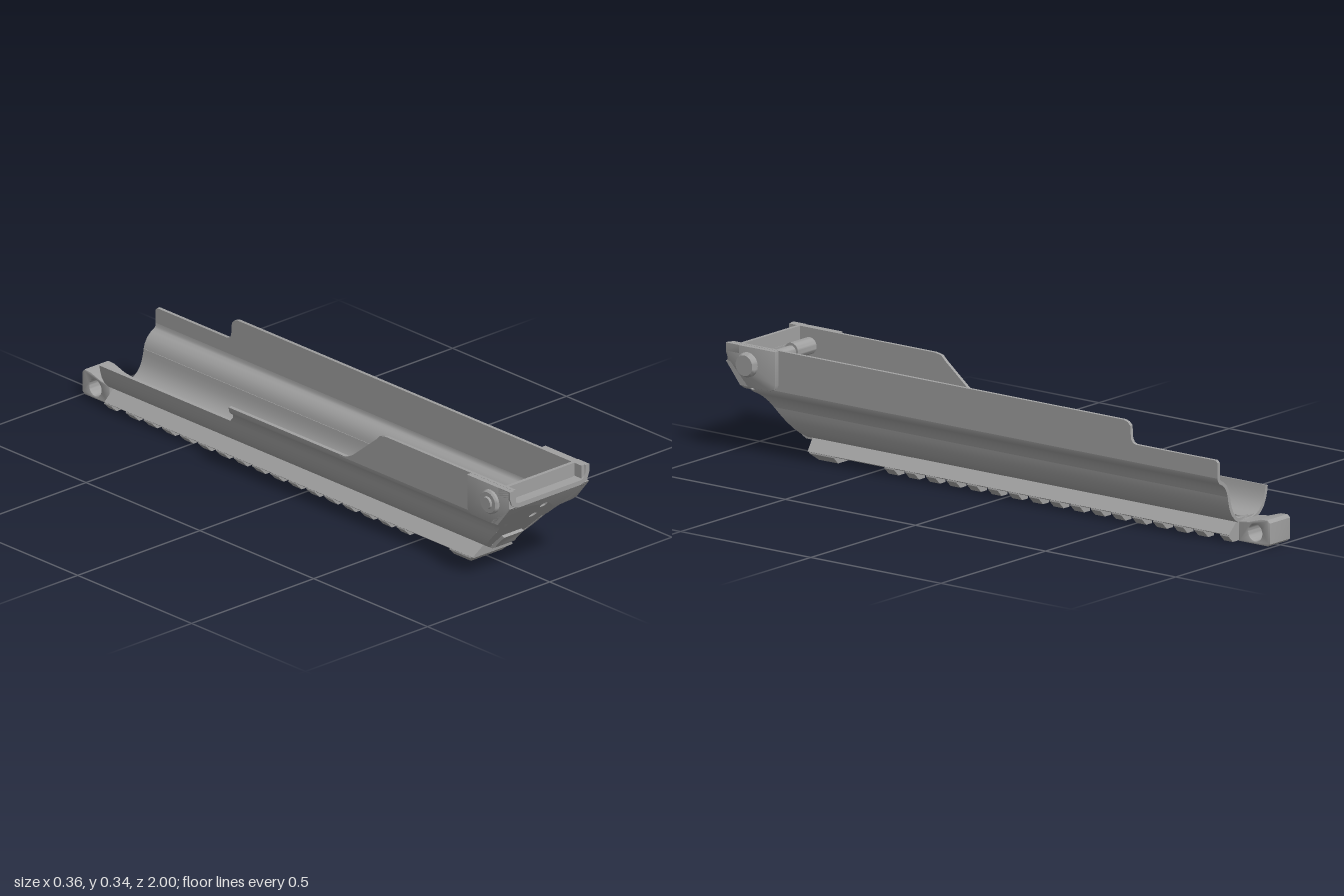
import * as THREE from 'three';
import { toCreasedNormals } from 'three/addons/utils/BufferGeometryUtils.js';

const metal = new THREE.MeshStandardMaterial({ color: 0xa0a0a0 });
metal.name = 'grey metal';

const toShape = (pts) => new THREE.Shape(pts.map(([x, y]) => new THREE.Vector2(x, y)));
const mirror = (pts, s) => pts.map(([x, y]) => [x * s, y]);

// Sloping nose plane: z of the front end at a given height
const noseZ = (y) => (y >= 0.28 ? 1 : 0.775 + (y - 0.055));

// Closed strip of even thickness that follows an open line
function band(pts, t) {
  const inner = pts.map((p, i) => {
    const a = pts[Math.max(i - 1, 0)], b = pts[Math.min(i + 1, pts.length - 1)];
    const dx = b[0] - a[0], dy = b[1] - a[1], l = Math.hypot(dx, dy);
    return [p[0] - (dy / l) * t, p[1] + (dx / l) * t];
  });
  return [...pts, ...inner.reverse()];
}

export function createModel() {
  const model = new THREE.Group();
  model.name = 'handguard';

  function add(name, geo, x = 0, y = 0, z = 0, crease = 0.6) {
    const mesh = new THREE.Mesh(toCreasedNormals(geo, crease), metal);
    mesh.name = name;
    mesh.position.set(x, y, z);
    model.add(mesh);
    return mesh;
  }

  // Cross-section swept along z, with ends that may depend on height
  function sweep(name, shape, back, front) {
    const geo = new THREE.ExtrudeGeometry(shape, { depth: 1, bevelEnabled: false, curveSegments: 20 });
    const p = geo.attributes.position;
    for (let i = 0; i < p.count; i++) p.setZ(i, (p.getZ(i) > 0.5 ? front : back)(p.getY(i)));
    return add(name, geo);
  }

  // Side outline in (z, y), given thickness in x
  function sidePlate(name, shape, x, t, bevel = 0) {
    const geo = new THREE.ExtrudeGeometry(shape, {
      depth: t - 2 * bevel, bevelEnabled: bevel > 0, bevelSize: bevel, bevelThickness: bevel,
      bevelOffset: -bevel, bevelSegments: 2, curveSegments: 20,
    });
    geo.translate(0, 0, -(t - 2 * bevel) / 2);
    geo.rotateY(-Math.PI / 2);
    return add(name, geo, x);
  }

  const rod = (name, r, x0, x1, y, z, r2 = r) => {
    const geo = new THREE.CylinderGeometry(r2, r, Math.abs(x1 - x0), 28);
    geo.rotateZ(x1 > x0 ? -Math.PI / 2 : Math.PI / 2);
    return add(name, geo, (x0 + x1) / 2, y, z);
  };

  const T = 0.011, BACK = -0.875;

  // Rounded trough along the whole length
  const halfTrough = [[0.025, 0.054], [0.045, 0.06], [0.062, 0.071], [0.077, 0.088], [0.087, 0.108], [0.093, 0.13], [0.096, 0.148]];
  const trough = [...mirror(halfTrough, -1).reverse(), [0, 0.053], ...halfTrough];
  sweep('trough', toShape(band(trough, T)), () => BACK, noseZ);

  // Flared shoulders, the right one cut short at the back
  const shoulder = [[0.096, 0.148], [0.1, 0.163], [0.109, 0.178], [0.122, 0.189], [0.135, 0.196], [0.143, 0.206], [0.145, 0.22]];
  for (const s of [1, -1]) {
    const line = mirror(shoulder, s);
    const strip = band(s > 0 ? line : line.reverse(), T);
    const back = s > 0 ? () => BACK : (y) => -0.3 + Math.min(1, Math.max(0, (y - 0.15) / 0.04)) * 0.045;
    sweep('shoulder', toShape(strip), back, noseZ);
  }

  // Upright side walls
  sidePlate('leftWall', toShape([[noseZ(0.215), 0.215], [0.995, 0.28], [0.995, 0.34], [-0.515, 0.34], [-0.53, 0.335],
    [-0.54, 0.325], [-0.543, 0.285], [-0.55, 0.274], [-0.56, 0.27], [-0.868, 0.27], [BACK, 0.263], [BACK, 0.215]]), 0.1395, T);
  sidePlate('rightWall', toShape([[noseZ(0.215), 0.215], [0.995, 0.28], [0.995, 0.34], [0.435, 0.34], [0.41, 0.335],
    [0.395, 0.32], [0.29, 0.235], [0.265, 0.222], [0.23, 0.215]]), -0.1395, T);

  // Sloping nose closing the front of the trough
  const noseHalf = [...halfTrough, ...shoulder.slice(1), [0.15, 0.28]];
  const nose = [...mirror(noseHalf, -1).reverse(), ...noseHalf];
  sweep('nosePlate', toShape(nose), (y) => noseZ(y) - 0.02, (y) => noseZ(y) - 0.002);

  // Collar plate on the nose with two screw holes
  const plateHalf = [[0.08, 0.168], [0.088, 0.173], [0.098, 0.192], [0.106, 0.2], [0.12, 0.204], [0.152, 0.207], [0.162, 0.217], [0.162, 0.285]];
  const plate = toShape([...mirror(plateHalf, -1).reverse(), ...plateHalf]);
  for (const y of [0.2, 0.247]) {
    const hole = new THREE.Path();
    hole.absellipse(0, y, 0.014, 0.011, 0, Math.PI * 2);
    plate.holes.push(hole);
  }
  const slope = (y) => 0.775 + y - 0.055;
  sweep('nosePlateCover', plate, (y) => slope(y) - 0.022, (y) => Math.min(1, slope(y) + 0.008));

  // Rounded rim and the bulkhead behind it
  const rimHalf = [[0.125, 0.281], [0.142, 0.285], [0.155, 0.296], [0.162, 0.315], [0.162, 0.34]];
  const rim = [...mirror(rimHalf, -1).reverse(), ...rimHalf];
  sweep('frontRim', toShape(band(rim, 0.015)), () => 0.95, () => 1);
  sweep('bulkhead', toShape([[-0.14, 0.34], [-0.14, 0.28], [0.14, 0.28], [0.14, 0.34]]), () => 0.952, () => 0.964);

  // Collar cheeks, pivot pin and its heads
  const cheek = toShape([[0.81, 0.34], [0.995, 0.34], [0.995, 0.28], [0.93, 0.213], [0.83, 0.215], [0.815, 0.222], [0.81, 0.235]]);
  for (const s of [1, -1]) {
    sidePlate('collarCheek', cheek, s * 0.1525, 0.019, 0.003);
    rod('pinHead', 0.038, s * 0.155, s * 0.17, 0.285, 0.915);
    rod('pinSleeve', 0.026, s * 0.135, s * 0.045, 0.285, 0.915);
  }
  rod('pinHeadRim', 0.038, 0.17, 0.181, 0.285, 0.915, 0.032);
  rod('pinHeadRim', 0.038, -0.17, -0.175, 0.285, 0.915, 0.033);
  rod('pinTip', 0.021, -0.17, -0.182, 0.285, 0.915, 0.018);
  rod('pivotPin', 0.018, -0.15, 0.15, 0.285, 0.915);

  // Inner tongue following the nose
  sidePlate('innerTongue', toShape([[0.79, 0.1], [0.81, 0.1], [0.945, 0.235], [0.945, 0.27], [0.925, 0.27]]), 0, 0.08);

  // Latch at the foot of the nose
  sidePlate('latch', toShape([[0.74, 0.06], [0.755, 0.054], [0.785, 0.054], [0.8, 0.062], [0.806, 0.073], [0.838, 0.105], [0.82, 0.112]]), 0.005, 0.08);

  // Dovetail rail with cross slots and a centre channel
  const railTop = [[-0.045, 0.07], [-0.045, 0.062], [-0.082, 0.027], [-0.079, 0.024], [0.079, 0.024], [0.082, 0.027], [0.045, 0.062], [0.045, 0.07]];
  sweep('rail', toShape(railTop), () => -0.868, (y) => 0.75 + (y > 0.03 ? 0.01 : 0));
  const endBlock = toShape([[-0.082, 0.026], [-0.083, 0.022], [-0.063, 0.002], [0.063, 0.002], [0.083, 0.022], [0.082, 0.026]]);
  sweep('railEndBlock', endBlock, () => 0.648, (y) => 0.72 + y);
  sweep('railEndBlock', endBlock, () => -0.868, () => -0.835);
  const tooth = [[0.035, 0.026], [0.035, 0.002], [0.063, 0.002], [0.083, 0.022], [0.082, 0.026]];
  for (let i = 0; i < 16; i++) {
    const z = 0.435 - i * 0.0793;
    for (const s of [1, -1]) sweep('railTooth', toShape(mirror(tooth, s)), () => z - 0.019, () => z + 0.019);
  }

  // Rail screws below, and their nuts inside the trough
  for (const z of [0.56, 0.16, -0.32, -0.72]) add('railScrew', new THREE.CylinderGeometry(0.012, 0.012, 0.012, 20), 0, 0.02, z);
  for (const z of [-0.72, -0.85]) add('innerNut', new THREE.CylinderGeometry(0.018, 0.02, 0.012, 20), 0, 0.068, z);

  // Rear lug with a cross hole, and the neck joining it to the rail
  const lug = toShape([[-0.88, 0.004], [-0.99, 0.004], [-1, 0.012], [-1, 0.077], [-0.99, 0.086], [-0.965, 0.085], [-0.92, 0.071], [-0.88, 0.066]]);
  const eye = new THREE.Path();
  eye.absarc(-0.943, 0.04, 0.026, 0, Math.PI * 2);
  lug.holes.push(eye);
  sidePlate('rearLug', lug, 0, 0.1, 0.004);
  add('lugNeck', new THREE.BoxGeometry(0.05, 0.035, 0.04), 0, 0.042, -0.872);

  return model;
}
